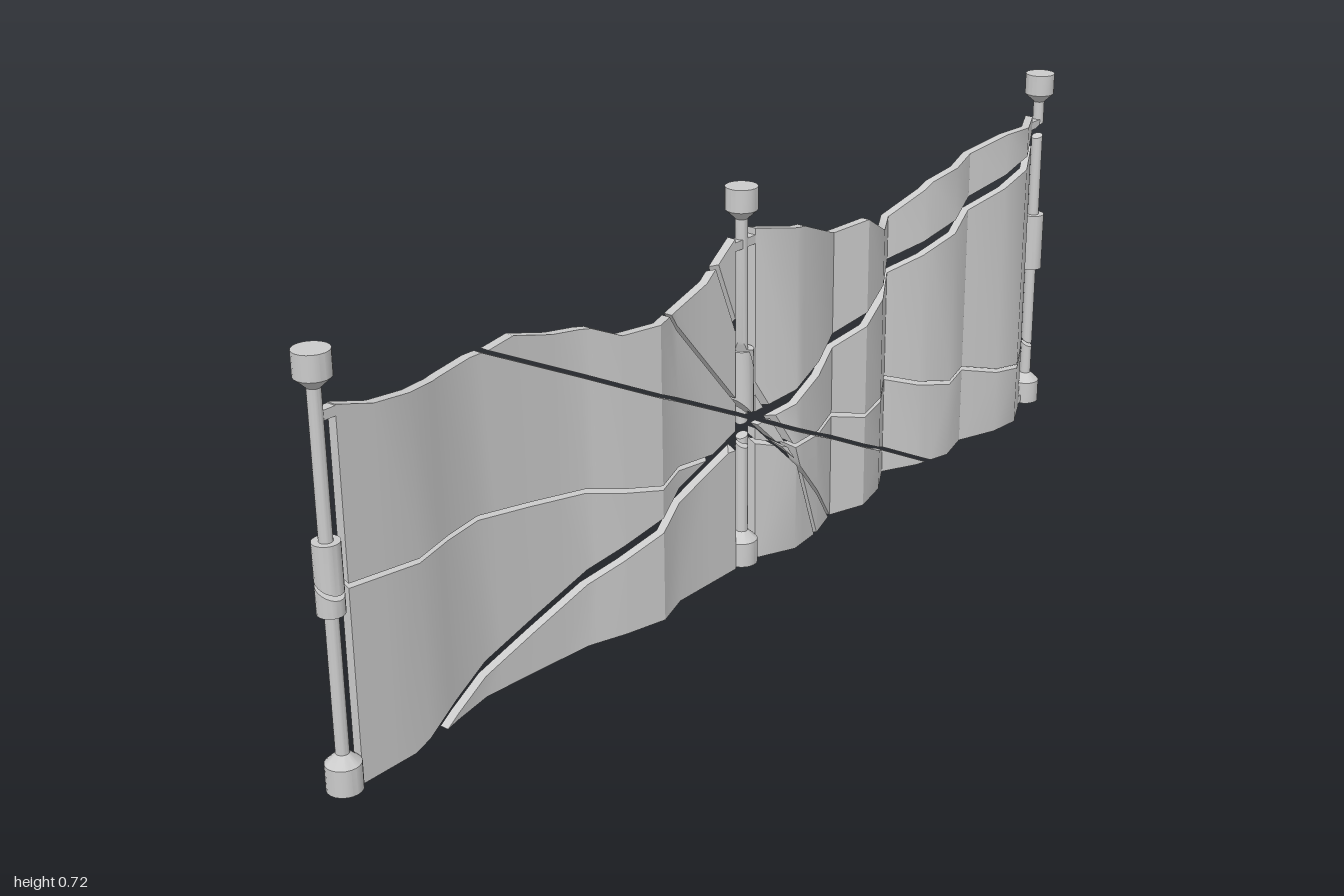
import * as THREE from 'three';
import { mergeGeometries, toCreasedNormals } from 'three/addons/utils/BufferGeometryUtils.js';

const V = (x, y, z) => new THREE.Vector3(x, y, z);

// Cracks: planes n.p = d, opened by h on each side
const CRACKS = [
  { n: V(-0.341, 1, 0), d: 0.27, h: 0.014 },
  { n: V(0.5, 1, 0), d: 0.29, h: 0.0035 },
  { n: V(1.17, 1, 0), d: 0.2925, h: 0.005 },
  { n: V(1, 0.41, -0.5), d: 0.157, h: 0.005 },
  { n: V(0.108, 1, 0.5), d: 0.24, h: 0.004 },
];

// Convex solid between two rings; listed side faces are left open
function prism(bottom, top, open = []) {
  const n = bottom.length, faces = [top, [...bottom].reverse()];
  for (let i = 0; i < n; i++) {
    const j = (i + 1) % n;
    const f = [bottom[i], bottom[j], top[j], top[i]];
    f.hidden = open.includes(i);
    faces.push(f);
  }
  return faces;
}

// Keep the part of a convex solid where n.p <= d, and cap the cut
function clip(faces, n, d) {
  const out = [], cut = [];
  for (const f of faces) {
    const g = [];
    g.hidden = f.hidden;
    f.forEach((a, i) => {
      const b = f[(i + 1) % f.length];
      const da = n.dot(a) - d, db = n.dot(b) - d;
      if (da <= 0) g.push(a);
      if ((da <= 0) !== (db <= 0)) {
        const p = a.clone().lerp(b, da / (da - db));
        g.push(p);
        cut.push(p);
      }
    });
    if (g.length > 2) out.push(g);
  }
  if (cut.length > 2) {
    const c = cut.reduce((s, p) => s.add(p), V(0, 0, 0)).divideScalar(cut.length);
    const u = V(0, 0, 1).cross(n).normalize();
    const v = n.clone().cross(u).normalize();
    const angle = p => Math.atan2(p.clone().sub(c).dot(v), p.clone().sub(c).dot(u));
    const cap = cut.sort((a, b) => angle(a) - angle(b))
      .filter((p, i) => i === 0 || p.distanceTo(cut[i - 1]) > 1e-6);
    if (cap.length > 2) out.push(cap);
  }
  return out;
}

// Split a solid along every crack and return its triangles
function shatter(solid) {
  let pieces = [solid];
  for (const { n, d, h } of CRACKS) {
    pieces = pieces.flatMap(p => [
      clip(p, n, d - h),
      clip(p, n.clone().negate(), -d - h),
    ]).filter(p => p.length > 3);
  }
  const pos = [];
  for (const f of pieces.flat()) {
    if (f.hidden) continue;
    for (let i = 1; i < f.length - 1; i++)
      for (const p of [f[0], f[i], f[i + 1]]) pos.push(p.x, p.y, p.z);
  }
  const geo = new THREE.BufferGeometry();
  geo.setAttribute('position', new THREE.Float32BufferAttribute(pos, 3));
  return geo;
}

const material = new THREE.MeshStandardMaterial({ color: 0xcccccc });

function shattered(name, solids) {
  const parts = solids.map(shatter).filter(g => g.attributes.position.count > 0);
  const mesh = new THREE.Mesh(toCreasedNormals(mergeGeometries(parts), 0.56), material);
  mesh.name = name;
  return mesh;
}

// Upright slab from (x0, z0) to (x1, z1) with sloping top
const T = 0.0085;
function slab(x0, z0, x1, z1, y, top0, top1, open) {
  const ring = (a, b) => [V(x0, a, z0 + T), V(x1, b, z1 + T), V(x1, b, z1 - T), V(x0, a, z0 - T)];
  return prism(ring(y, y), ring(top0, top1), open);
}

// Linear interpolation along [x, value] points
function sample(points, x) {
  for (let i = 1; i < points.length; i++) {
    const [a, va] = points[i - 1], [b, vb] = points[i];
    if (x <= b) return va + (vb - va) * (x - a) / (b - a);
  }
  return points[points.length - 1][1];
}

// Wavy sheet: fold gives z along x, top gives the ragged upper edge
function sheet(fold, top) {
  const xs = [...new Set([...fold, ...top].map(p => p[0]))].sort((a, b) => a - b);
  return xs.slice(1).map((x1, i) => {
    const x0 = xs[i], open = [];
    if (i > 0) open.push(3);
    if (i < xs.length - 2) open.push(1);
    return slab(x0, sample(fold, x0), x1, sample(fold, x1), 0, sample(top, x0), sample(top, x1), open);
  });
}

// Post: stacked frustums [y0, r0, y1, r1]
const POST = [
  [0.004, 0.029, 0.05, 0.029], [0.05, 0.029, 0.067, 0.011],
  [0.067, 0.011, 0.66, 0.011], [0.303, 0.022, 0.42, 0.022],
  [0.66, 0.011, 0.677, 0.029], [0.677, 0.029, 0.718, 0.029],
];
function post(x) {
  const ring = (y, r) => Array.from({ length: 20 }, (_, i) => {
    const a = i / 20 * Math.PI * 2;
    return V(x + r * Math.sin(a), y, r * Math.cos(a));
  });
  return POST.map(([y0, r0, y1, r1]) => prism(ring(y0, r0), ring(y1, r1)));
}

export function createModel() {
  const group = new THREE.Group();
  group.name = 'crackedScreen';

  // Sheets between the posts
  group.add(shattered('rightSheet', sheet(
    [[-0.942, 0], [-0.8, 0], [-0.72, -0.02], [-0.64, -0.035], [-0.53, -0.028], [-0.41, -0.018],
      [-0.34, 0.005], [-0.26, 0.024], [-0.19, 0], [-0.033, 0]],
    [[-0.942, 0.626], [-0.87, 0.604], [-0.74, 0.592], [-0.6, 0.595], [-0.55, 0.604], [-0.47, 0.583],
      [-0.39, 0.572], [-0.335, 0.547], [-0.19, 0.547], [-0.11, 0.572], [-0.07, 0.604], [-0.033, 0.631]])));
  group.add(shattered('leftSheet', sheet(
    [[0.023, 0], [0.1, 0.034], [0.18, 0.025], [0.255, 0], [0.33, 0.025], [0.41, 0.005], [0.48, -0.036],
      [0.55, 0], [0.63, 0.02], [0.705, 0], [0.79, 0.031], [0.86, 0.037], [0.935, 0]],
    [[0.023, 0.636], [0.125, 0.62], [0.255, 0.567], [0.33, 0.578], [0.41, 0.533], [0.48, 0.533],
      [0.57, 0.588], [0.63, 0.604], [0.705, 0.612], [0.79, 0.636], [0.935, 0.636]])));

  // Posts
  const posts = { rightPost: -0.971, middlePost: -0.005, leftPost: 0.971 };
  for (const [name, x] of Object.entries(posts)) group.add(shattered(name, post(x)));

  // Small tabs joining sheets to posts, top and bottom
  const tabs = [];
  for (const [x0, x1] of [[-0.965, -0.94], [-0.035, -0.01], [0, 0.025], [0.933, 0.965]])
    for (const y of [0.006, 0.608]) tabs.push(slab(x0, 0, x1, 0, y, y + 0.016, y + 0.016));
  group.add(shattered('tabs', tabs));
  return group;
}
